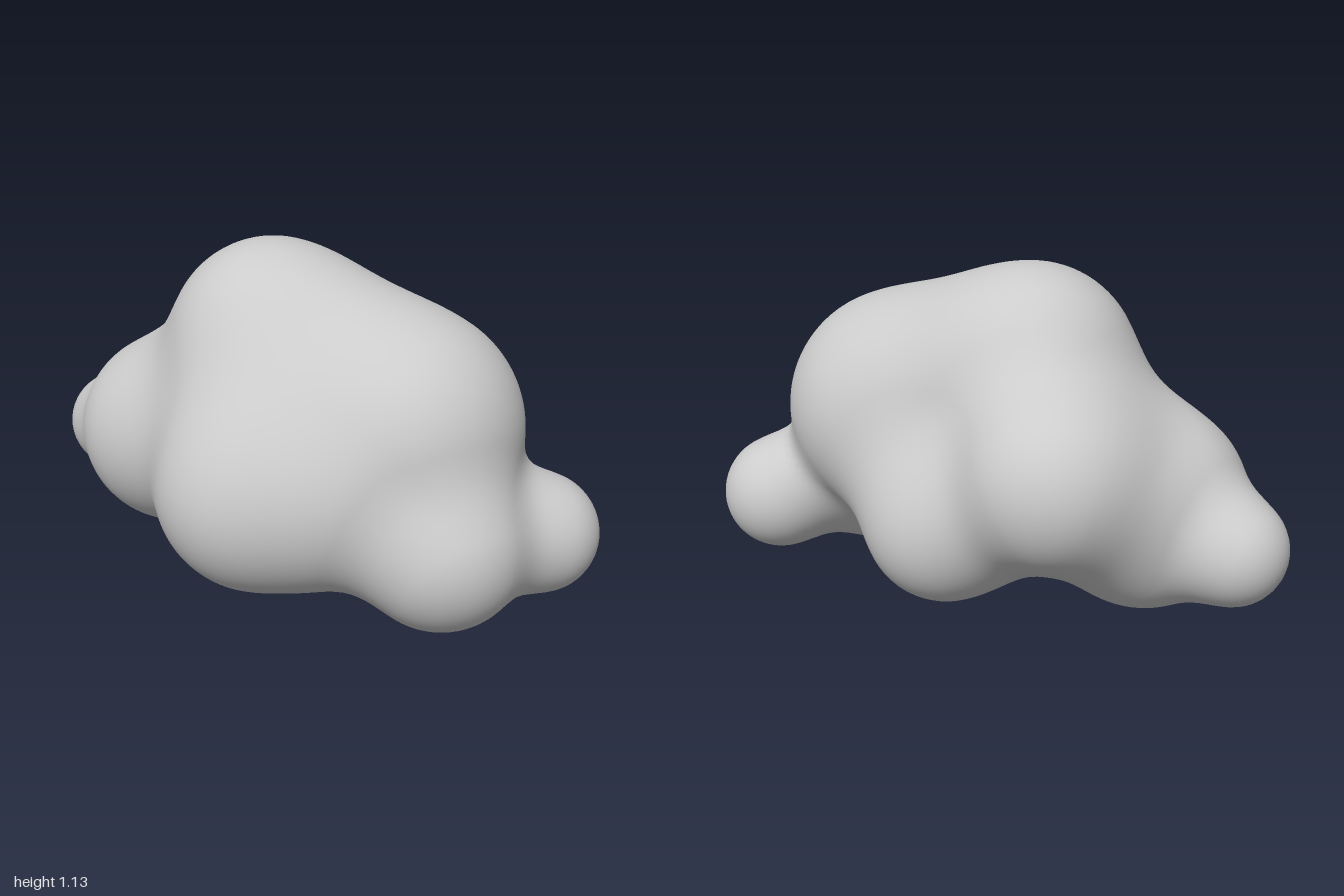
import * as THREE from 'three';

// Lobes of the body: x, y, z, radius, blend width
const LOBES = [
  [-0.10, 0.785, -0.02, 0.35, 0.25], // crown
  [0.38, 0.585, -0.03, 0.40, 0.32],  // right shoulder
  [0.03, 0.40, 0.25, 0.35, 0.27],    // front belly
  [0.25, 0.40, 0.18, 0.28, 0.14],    // belly flank
  [-0.50, 0.39, 0.00, 0.34, 0.25],   // side body
  [-0.33, 0.56, -0.30, 0.30, 0.17],  // upper back
  [0.06, 0.33, -0.30, 0.27, 0.20],   // lower back
  [0.60, 0.28, 0.09, 0.28, 0.13],    // foot
  [-0.82, 0.32, -0.05, 0.18, 0.10],  // small end knob
  [0.80, 0.24, -0.22, 0.20, 0.15],   // large end knob
];

// Signed distance to the smoothly blended lobes
function field(x, y, z) {
  let d = 10;
  for (const [cx, cy, cz, r, k] of LOBES) {
    const e = Math.hypot(x - cx, y - cy, z - cz) - r;
    const h = Math.max(k - Math.abs(d - e), 0);
    d = Math.min(d, e) - (h * h) / (4 * k);
  }
  return d;
}

function gradient(p, out) {
  const e = 0.002;
  return out.set(
    field(p.x + e, p.y, p.z) - field(p.x - e, p.y, p.z),
    field(p.x, p.y + e, p.z) - field(p.x, p.y - e, p.z),
    field(p.x, p.y, p.z + e) - field(p.x, p.y, p.z - e)
  ).divideScalar(2 * e);
}

// Skin the field: one vertex per crossed cell, one quad per crossed grid edge
function skinGeometry(min, max, step) {
  const n = [0, 1, 2].map((a) => Math.ceil((max[a] - min[a]) / step) + 1);
  const stride = [1, n[0], n[0] * n[1]];
  const at = (i, j, k) => i + j * stride[1] + k * stride[2];
  const values = new Float32Array(n[0] * n[1] * n[2]);
  for (let k = 0; k < n[2]; k++)
    for (let j = 0; j < n[1]; j++)
      for (let i = 0; i < n[0]; i++)
        values[at(i, j, k)] = field(min[0] + i * step, min[1] + j * step, min[2] + k * step);

  const cell = new Int32Array(values.length).fill(-1);
  const positions = [], normals = [], index = [];
  const p = new THREE.Vector3(), g = new THREE.Vector3();
  for (let k = 0; k < n[2] - 1; k++)
    for (let j = 0; j < n[1] - 1; j++)
      for (let i = 0; i < n[0] - 1; i++) {
        let inside = 0;
        for (let c = 0; c < 8; c++)
          if (values[at(i + (c & 1), j + ((c >> 1) & 1), k + (c >> 2))] < 0) inside++;
        if (inside === 0 || inside === 8) continue;
        p.set(min[0] + (i + 0.5) * step, min[1] + (j + 0.5) * step, min[2] + (k + 0.5) * step);
        // Slide the cell centre onto the surface
        for (let s = 0; s < 5; s++) {
          gradient(p, g);
          p.addScaledVector(g, -field(p.x, p.y, p.z) / Math.max(g.lengthSq(), 0.2));
        }
        gradient(p, g).normalize();
        cell[at(i, j, k)] = positions.length / 3;
        positions.push(p.x, p.y, p.z);
        normals.push(g.x, g.y, g.z);
      }

  for (let k = 1; k < n[2] - 1; k++)
    for (let j = 1; j < n[1] - 1; j++)
      for (let i = 1; i < n[0] - 1; i++) {
        const o = at(i, j, k);
        for (let a = 0; a < 3; a++) {
          const inside = values[o] < 0;
          if (inside === values[o + stride[a]] < 0) continue;
          const b = stride[(a + 1) % 3], c = stride[(a + 2) % 3];
          const q = [cell[o - b - c], cell[o - c], cell[o], cell[o - b]];
          if (!inside) q.reverse();
          index.push(q[0], q[1], q[2], q[0], q[2], q[3]);
        }
      }

  const geometry = new THREE.BufferGeometry();
  geometry.setAttribute('position', new THREE.Float32BufferAttribute(positions, 3));
  geometry.setAttribute('normal', new THREE.Float32BufferAttribute(normals, 3));
  geometry.setIndex(index);
  return geometry;
}

export function createModel() {
  const group = new THREE.Group();
  group.name = 'blob';
  const body = new THREE.Mesh(
    skinGeometry([-1.08, -0.08, -0.7], [1.08, 1.24, 0.7], 0.024),
    new THREE.MeshStandardMaterial({ color: 0xcccccc })
  );
  body.name = 'blendedBody';
  group.add(body);
  return group;
}
